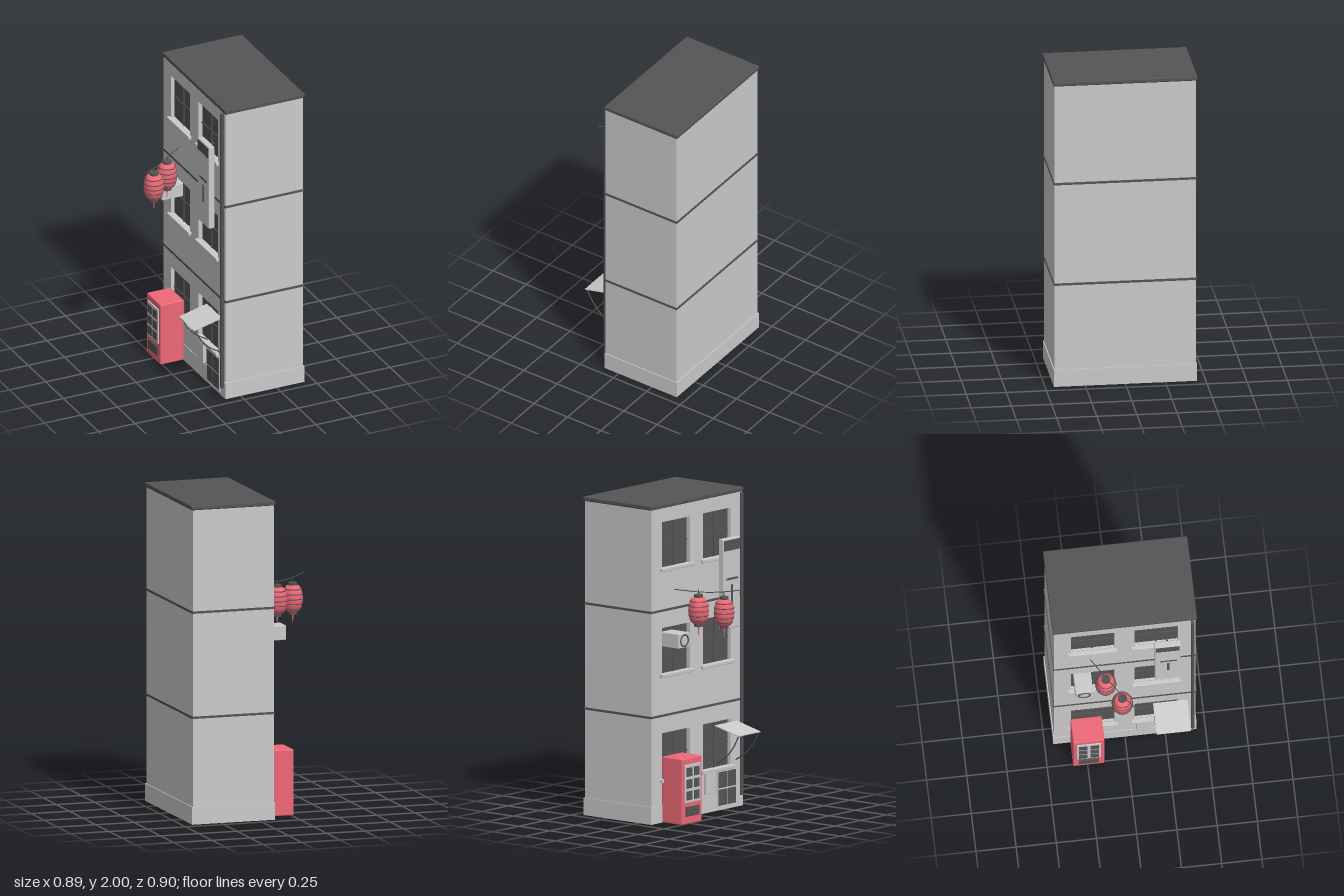
import * as THREE from 'three';
import { RoundedBoxGeometry } from 'three/addons/geometries/RoundedBoxGeometry.js';

const grey = new THREE.MeshStandardMaterial({ color: 0xcccccc });
const greyThin = new THREE.MeshStandardMaterial({ color: 0xcccccc, side: THREE.DoubleSide });
const dark = new THREE.MeshStandardMaterial({ color: 0x555555 });
const red = new THREE.MeshStandardMaterial({ color: 0xee6876 });

function add(parent, name, geometry, material, x = 0, y = 0, z = 0) {
  const mesh = new THREE.Mesh(geometry, material);
  mesh.name = name;
  mesh.position.set(x, y, z);
  parent.add(mesh);
  return mesh;
}

// Box given by its low and high limits on each axis; r rounds the edges
function box(parent, name, material, [x0, x1], [y0, y1], [z0, z1], r = 0) {
  const w = x1 - x0, h = y1 - y0, d = z1 - z0;
  const g = r ? new RoundedBoxGeometry(w, h, d, 2, r) : new THREE.BoxGeometry(w, h, d);
  return add(parent, name, g, material, (x0 + x1) / 2, (y0 + y1) / 2, (z0 + z1) / 2);
}

function rod(parent, name, material, points, radius) {
  const curve = new THREE.CatmullRomCurve3(points.map(p => new THREE.Vector3(...p)));
  return add(parent, name, new THREE.TubeGeometry(curve, 20, radius, 8), material);
}

function group(parent, name) {
  const g = new THREE.Group();
  g.name = name;
  parent.add(g);
  return g;
}

const WIN_W = 0.27, WIN_H = 0.29, RECESS = 0.03;
const windowSpots = [];
for (const y of [0.27, 0.93, 1.595]) for (const u of [-0.2, 0.195]) windowSpots.push([u, y]);

// Facade wall with window openings
function facadeWall(parent) {
  const s = new THREE.Shape([[-0.44, 0], [0.44, 0], [0.44, 1.98], [-0.44, 1.98]].map(p => new THREE.Vector2(...p)));
  for (const [u, y] of windowSpots) {
    const a = u - WIN_W / 2, b = u + WIN_W / 2;
    s.holes.push(new THREE.Path([[a, y], [a, y + WIN_H], [b, y + WIN_H], [b, y]].map(p => new THREE.Vector2(...p))));
  }
  add(parent, 'facadeWall', new THREE.ExtrudeGeometry(s, { depth: RECESS, bevelEnabled: false }), grey, 0, 0, -RECESS);
}

// Recessed pane, slim bars and projecting sill
function windowUnit(parent, u, y) {
  const g = group(parent, 'window');
  g.position.set(u, y, 0);
  const w = WIN_W / 2;
  box(g, 'glass', dark, [-w, w], [0, WIN_H], [-0.03, -0.026]);
  box(g, 'mullion', dark, [-0.004, 0.004], [0, WIN_H], [-0.026, -0.02]);
  box(g, 'transom', dark, [-w, w], [WIN_H / 2 - 0.004, WIN_H / 2 + 0.004], [-0.026, -0.02]);
  box(g, 'sill', grey, [-0.155, 0.155], [-0.02, 0.003], [-0.01, 0.02], 0.004);
}

function vendingMachine(parent) {
  const g = group(parent, 'vendingMachine');
  box(g, 'cabinet', red, [-0.34, -0.145], [0, 0.415], [0, 0.163], 0.008);
  box(g, 'displayPanel', grey, [-0.318, -0.167], [0.135, 0.375], [0.16, 0.17], 0.003);
  for (let row = 0; row < 3; row++)
    for (const u of [-0.278, -0.207]) {
      const y = 0.153 + row * 0.074;
      box(g, 'displayWindow', dark, [u - 0.026, u + 0.026], [y, y + 0.055], [0.168, 0.174]);
    }
  box(g, 'dispenserSlot', dark, [-0.305, -0.18], [0.05, 0.11], [0.16, 0.172]);
}

function airConditioner(parent) {
  const g = group(parent, 'airConditioner');
  box(g, 'casing', grey, [-0.32, -0.21], [1.1, 1.192], [-0.028, 0.12], 0.005);
  add(g, 'fanRing', new THREE.TorusGeometry(0.036, 0.005, 8, 24), dark, -0.265, 1.146, 0.121);
}

function signBoard(parent) {
  const g = group(parent, 'signBoard');
  box(g, 'board', grey, [0.18, 0.34], [1.145, 1.71], [0.027, 0.066], 0.005);
  box(g, 'topPanel', dark, [0.187, 0.333], [1.635, 1.7], [0.06, 0.07]);
  box(g, 'crossStrip', dark, [0.21, 0.315], [1.45, 1.463], [0.06, 0.069]);
  box(g, 'uprightStrip', dark, [0.253, 0.269], [1.3, 1.42], [0.06, 0.069]);
  for (const y of [1.165, 1.69]) rod(g, 'bracket', dark, [[0.26, y, -0.01], [0.26, y, 0.04]], 0.005);
}

function awning(parent) {
  const g = group(parent, 'awning');
  const cover = add(g, 'cover', new THREE.BoxGeometry(0.215, 0.005, 0.197), greyThin, 0.2825, 0.513, 0.095);
  cover.rotation.x = Math.atan2(0.046, 0.19);
  for (const u of [0.185, 0.38])
    rod(g, 'brace', dark, [[u, 0.49, 0.185], [u, 0.41, 0.138], [u, 0.35, 0.085], [u, 0.295, 0]], 0.004);
}

// Glazed entrance below the awning with a small meter box beside it
function entrance(parent) {
  const g = group(parent, 'entrance');
  box(g, 'doorFrame', grey, [0.19, 0.375], [0.02, 0.255], [-0.01, 0.009]);
  for (const u of [0.2, 0.287])
    for (const y of [0.03, 0.14]) box(g, 'doorPane', dark, [u, u + 0.078], [y, y + 0.1], [0, 0.012]);
  box(g, 'meterBox', grey, [0.07, 0.16], [0.12, 0.25], [-0.01, 0.019], 0.003);
}

function lantern(parent, x, y, z) {
  const g = group(parent, 'lantern');
  g.position.set(x, y, z);
  const radiusAt = h => 0.028 + 0.035 * Math.sqrt(Math.max(0, 1 - (h / 0.083) ** 2));
  const profile = [];
  for (let i = 0; i <= 24; i++) {
    const h = -0.083 * Math.cos((i / 24) * Math.PI);
    profile.push(new THREE.Vector2(radiusAt(h), h));
  }
  add(g, 'paperBody', new THREE.LatheGeometry(profile, 32), red);
  for (let i = -2; i <= 2; i++) {
    const h = i * 0.03;
    const rib = add(g, 'rib', new THREE.TorusGeometry(radiusAt(h), 0.003, 6, 32), dark, 0, h, 0);
    rib.rotation.x = Math.PI / 2;
  }
  for (const h of [-0.09, 0.09]) add(g, 'cap', new THREE.CylinderGeometry(0.028, 0.028, 0.02, 24), dark, 0, h, 0);
  add(g, 'hanger', new THREE.CylinderGeometry(0.003, 0.003, 0.035, 8), dark, 0, 0.112, 0);
  add(g, 'tassel', new THREE.CylinderGeometry(0.006, 0.002, 0.055, 8), red, 0, -0.127, 0);
}

export function createModel() {
  const model = new THREE.Group();
  model.name = 'townBuilding';

  // Building shell
  box(model, 'mainBlock', grey, [-0.07, 0.432], [0, 1.98], [-0.44, 0.44]);
  box(model, 'plinth', grey, [-0.104, 0.438], [0, 0.11], [-0.446, 0.446]);
  for (const y of [0.67, 1.33])
    box(model, 'floorBand', dark, [-0.104, 0.437], [y - 0.007, y + 0.007], [-0.445, 0.445]);
  box(model, 'roofSlab', dark, [-0.106, 0.442], [1.972, 2], [-0.449, 0.449], 0.007);

  // Facade parts are laid out along the wall (x), up (y) and outward (z)
  const facade = group(model, 'facade');
  facade.rotation.y = -Math.PI / 2;
  facade.position.x = -0.1;
  facadeWall(facade);
  for (const [u, y] of windowSpots) windowUnit(facade, u, y);
  vendingMachine(facade);
  airConditioner(facade);
  signBoard(facade);
  awning(facade);
  entrance(facade);
  add(facade, 'downpipe', new THREE.CylinderGeometry(0.012, 0.012, 1.9, 16), dark, 0.42, 1.02, 0.014);

  // Lanterns on a sagging cord
  rod(model, 'lanternCord', dark, [[-0.445, 1.45, 0.02], [-0.357, 1.437, -0.04], [-0.28, 1.432, -0.095],
    [-0.225, 1.434, -0.133], [-0.1, 1.447, -0.215]], 0.003);
  lantern(model, -0.357, 1.308, -0.045);
  lantern(model, -0.225, 1.318, -0.133);
  return model;
}
